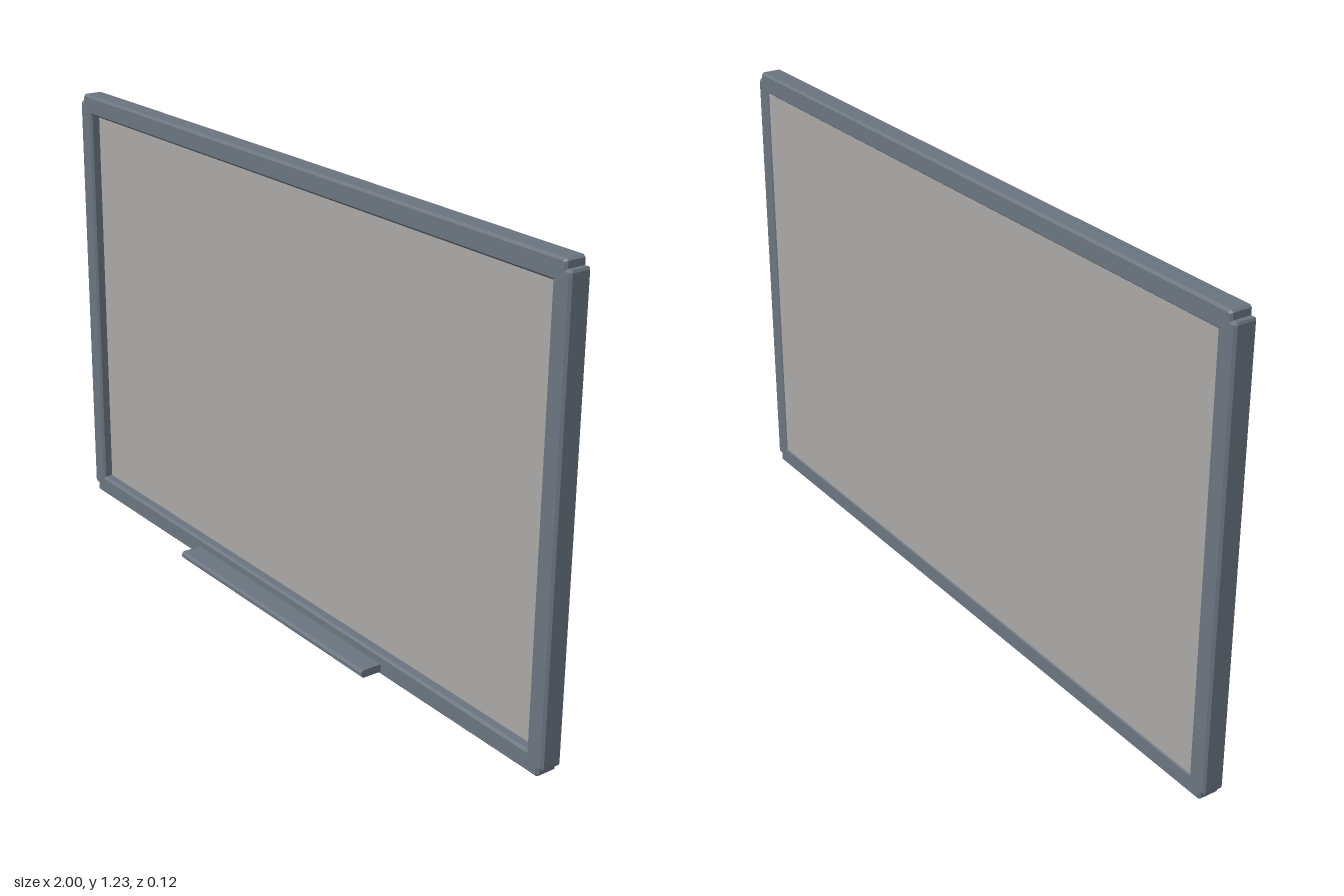
import * as THREE from 'three';

const HEIGHT = 1.225, MID = HEIGHT / 2;

function makeMesh(name, geometry, color) {
  const mesh = new THREE.Mesh(geometry, new THREE.MeshStandardMaterial({ color, flatShading: true }));
  mesh.name = name;
  return mesh;
}

const points = (list) => list.map(([x, y]) => new THREE.Vector2(x, y));

export function createModel() {
  const group = new THREE.Group();
  group.name = 'wallBoard';
  const slate = 0x6b747f;

  // Frame outline: a rectangle whose four corners are notched
  const corner = [[1, MID - 0.028], [0.997, MID - 0.022], [0.985, MID - 0.022],
    [0.985, MID - 0.005], [0.978, MID]];
  const flipX = ([x, y]) => [-x, y];
  const upper = [...corner, ...corner.map(flipX).reverse()];
  const outline = [...upper, ...upper.map(([x, y]) => [x, -y]).reverse()];
  const frameShape = new THREE.Shape(points(outline));

  // Opening for the writing surface
  const w = 0.945, h = MID - 0.055;
  frameShape.holes.push(new THREE.Path(points([[-w, -h], [-w, h], [w, h], [w, -h]])));

  const bevel = 0.006;
  const frameGeo = new THREE.ExtrudeGeometry(frameShape, {
    depth: 0.06 - 2 * bevel, bevelEnabled: true, bevelSegments: 1,
    bevelSize: bevel, bevelThickness: bevel, bevelOffset: -bevel,
  });
  frameGeo.translate(0, MID, -0.06 + bevel);
  group.add(makeMesh('frame', frameGeo, slate));

  // Writing panel, recessed at the front and almost flush at the back
  const panel = makeMesh('panel', new THREE.BoxGeometry(2 * w + 0.01, 2 * h + 0.01, 0.03), 0xa9a8a5);
  panel.position.set(0, MID, -0.042);
  group.add(panel);

  // Pen tray: chamfered profile (z, y) swept along the width
  const trayShape = new THREE.Shape(points([[-0.01, 0.01], [0.054, 0.01], [0.06, 0.016],
    [0.06, 0.025], [0.054, 0.031], [-0.01, 0.031]]));
  const trayGeo = new THREE.ExtrudeGeometry(trayShape, { depth: 0.826, bevelEnabled: false });
  trayGeo.rotateY(-Math.PI / 2).scale(1, 1, 1).translate(0.413, 0, 0);
  group.add(makeMesh('penTray', trayGeo, slate));

  return group;
}
